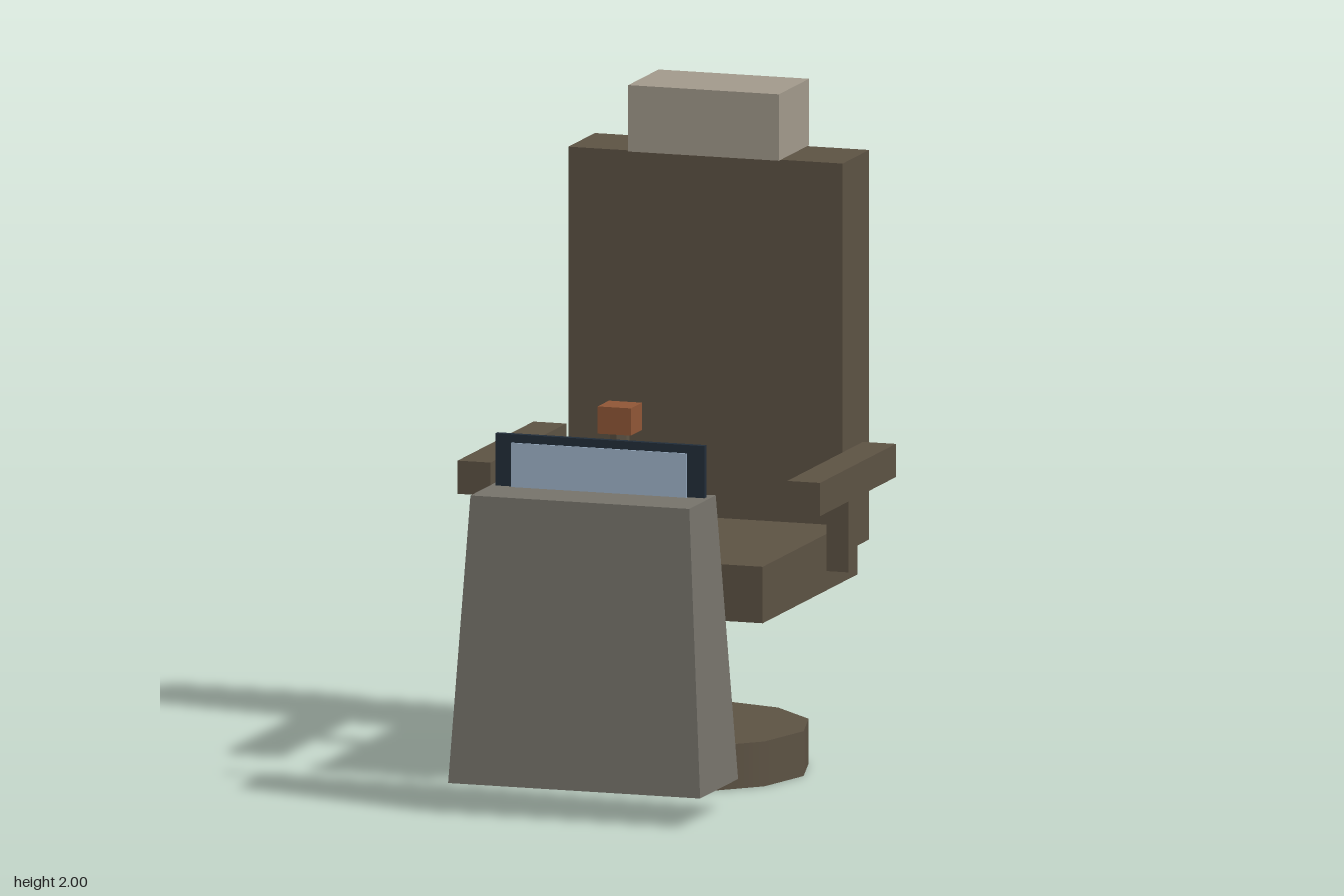
import * as THREE from 'three';

const paint = (name, color) => {
  const m = new THREE.MeshStandardMaterial({ color });
  m.name = name;
  return m;
};

export function createModel() {
  const brown = paint('brown upholstery', 0x5c5243);
  const grey = paint('console grey', 0x75726a);
  const pale = paint('pale headrest', 0xa1998b);
  const rust = paint('rust knob', 0x8f5636);
  const navy = paint('dark navy frame', 0x222d39);
  const blue = paint('screen blue', 0x9fb4ca);
  const model = new THREE.Group();
  model.name = 'commandChair';

  const add = (name, geometry, material) => {
    const mesh = new THREE.Mesh(geometry, material);
    mesh.name = name;
    model.add(mesh);
    return mesh;
  };
  // Box given by its extents on each axis
  const box = (name, material, [x0, x1], [y0, y1], [z0, z1]) =>
    add(name, new THREE.BoxGeometry(x1 - x0, y1 - y0, z1 - z0), material)
      .position.set((x0 + x1) / 2, (y0 + y1) / 2, (z0 + z1) / 2);
  const post = (name, material, r, sides, [y0, y1], z) =>
    add(name, new THREE.CylinderGeometry(r, r, y1 - y0, sides).toNonIndexed(), material)
      .position.set(0, (y0 + y1) / 2, z);

  // Pedestal: smooth round foot, faceted column
  post('base', brown, 0.4, 12, [0, 0.135], -0.2);
  post('column', brown, 0.095, 6, [0.135, 0.54], -0.203);
  model.getObjectByName('column').geometry.computeVertexNormals();

  // Chair
  box('seat', brown, [-0.43, 0.43], [0.54, 0.71], [-0.6, 0.258]);
  box('backrest', brown, [-0.43, 0.43], [0.627, 1.8], [-0.707, -0.467]);
  box('headrest', pale, [-0.236, 0.236], [1.8, 2], [-0.724, -0.449]);
  for (const [side, s] of [['left', 1], ['right', -1]]) {
    const span = (a, b) => (s > 0 ? [a, b] : [-b, -a]);
    box(side + 'Armrest', brown, span(0.465, 0.568), [0.85, 0.95], [-0.55, 0.137]);
    box(side + 'ArmSupport', brown, span(0.482, 0.551), [0.627, 0.85], [-0.24, -0.17]);
  }

  // Control stick
  post('stick', brown, 0.03, 6, [0.78, 1.1], 0.311);
  model.getObjectByName('stick').geometry.computeVertexNormals();
  box('stickKnob', rust, [-0.052, 0.052], [1.1, 1.182], [0.258, 0.36]);

  // Console: a box whose top is drawn in
  const body = new THREE.BoxGeometry(0.79, 0.86, 0.344);
  const p = body.attributes.position;
  for (let i = 0; i < p.count; i++) {
    if (p.getY(i) > 0) p.setXYZ(i, Math.sign(p.getX(i)) * 0.343, 0.43, Math.sign(p.getZ(i)) * 0.12);
  }
  const flatBody = body.toNonIndexed();
  flatBody.computeVertexNormals();
  add('console', flatBody, grey).position.set(0, 0.52, 0.552);

  // Monitor set into the console top
  box('screenFrame', navy, [-0.327, 0.327], [0.86, 1.107], [0.471, 0.49]);
  box('screen', blue, [-0.275, 0.275], [0.88, 1.083], [0.495, 0.5]);

  return model;
}
